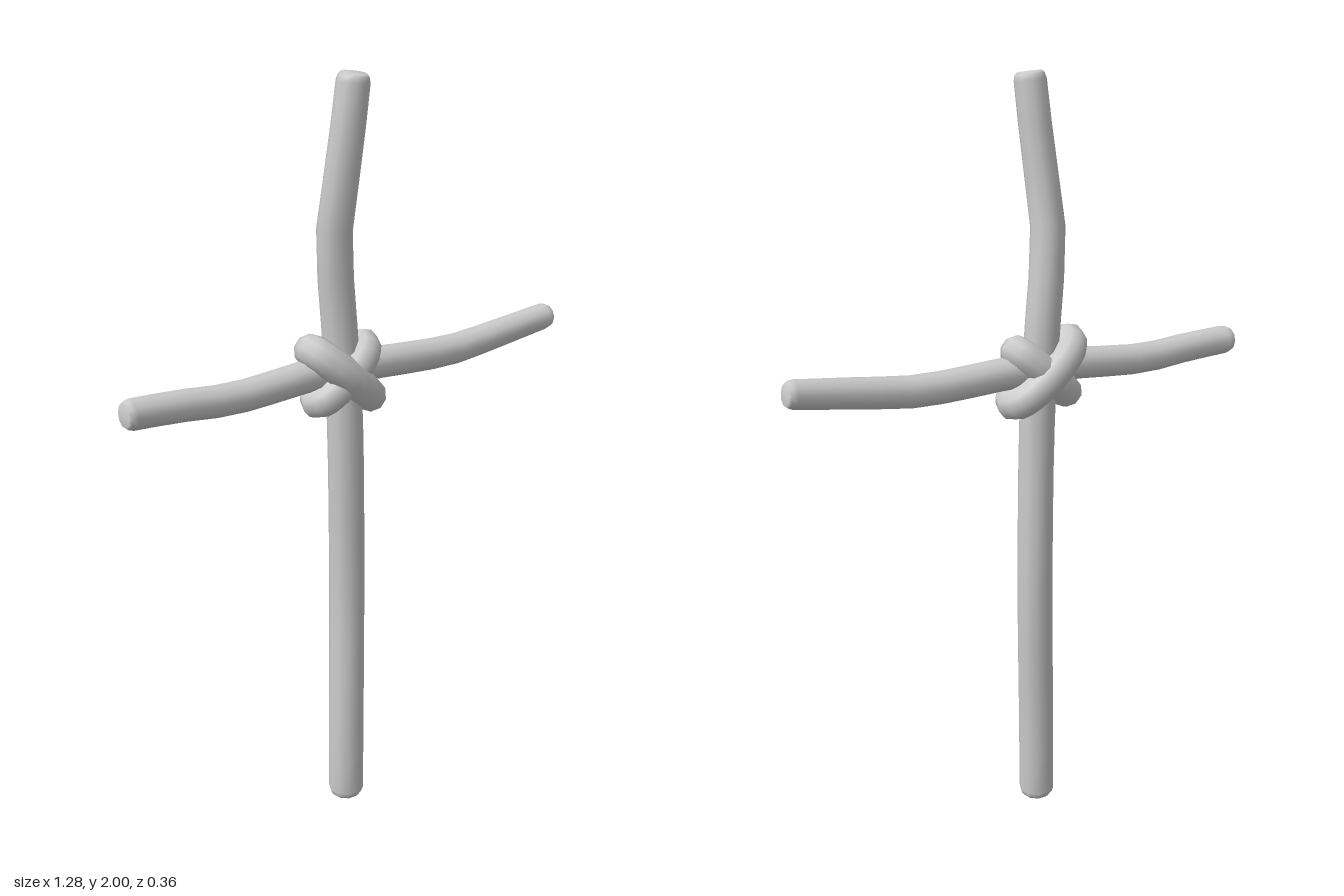
import * as THREE from 'three';

const material = new THREE.MeshStandardMaterial({ color: 0xcccccc });

// Tapered stick swept through [x, y, z, radius] rows, with rounded-off ends.
function stick(name, rows, sides = 10, steps = 16) {
  const curve = new THREE.CatmullRomCurve3(rows.map(r => new THREE.Vector3(r[0], r[1], r[2])));
  const n = rows.length - 1;
  const bevel = 0.02;
  const length = curve.getLength();
  const e = bevel / length;
  // ring stations: parameter and radius factor
  const stations = [[0, 0], [0, 0.78], [e * 0.35, 0.92], [e, 1]];
  for (let i = 1; i < steps; i++) stations.push([i / steps, 1]);
  stations.push([1 - e, 1], [1 - e * 0.35, 0.92], [1, 0.78], [1, 0]);

  const side = new THREE.Vector3(0, 0, 1);
  const pos = [], index = [];
  for (const [u, f] of stations) {
    const t = curve.getUtoTmapping(u);
    const c = curve.getPoint(t), tan = curve.getTangent(t);
    const k = Math.min(Math.floor(t * n), n - 1);
    const r = f * THREE.MathUtils.lerp(rows[k][3], rows[k + 1][3], t * n - k);
    const a = side.clone().addScaledVector(tan, -side.dot(tan)).normalize();
    const b = tan.clone().cross(a);
    for (let j = 0; j < sides; j++) {
      const w = j / sides * Math.PI * 2;
      const p = c.clone().addScaledVector(a, r * Math.cos(w)).addScaledVector(b, r * Math.sin(w));
      pos.push(p.x, p.y, p.z);
    }
  }
  for (let i = 0; i < stations.length - 1; i++) {
    for (let j = 0; j < sides; j++) {
      const k = (j + 1) % sides;
      const a = i * sides + j, b = i * sides + k, c = a + sides, d = b + sides;
      index.push(a, b, d, a, d, c);
    }
  }
  const g = new THREE.BufferGeometry();
  g.setAttribute('position', new THREE.Float32BufferAttribute(pos, 3));
  g.setIndex(index);
  g.computeVertexNormals();
  const mesh = new THREE.Mesh(g, material);
  mesh.name = name;
  return mesh;
}

// Oval loop of cord, tilted across the joint.
function lashing(name, long, deep, thickness, tilt) {
  const pts = [];
  for (let i = 0; i < 12; i++) {
    const w = i / 12 * Math.PI * 2;
    pts.push(new THREE.Vector3(Math.cos(w) * long, 0, Math.sin(w) * deep));
  }
  const curve = new THREE.CatmullRomCurve3(pts, true);
  const mesh = new THREE.Mesh(new THREE.TubeGeometry(curve, 28, thickness, 10, true), material);
  mesh.name = name;
  mesh.rotation.z = tilt;
  return mesh;
}

export function createModel() {
  const model = new THREE.Group();
  model.name = 'lashedCross';

  model.add(stick('uprightStick', [
    [-0.042, 0, 0, 0.049],
    [-0.038, 0.25, -0.002, 0.049],
    [-0.02, 0.65, -0.015, 0.048],
    [-0.034, 1.15, -0.008, 0.047],
    [-0.042, 1.38, -0.018, 0.046],
    [-0.065, 1.62, -0.012, 0.045],
    [-0.058, 1.8, 0.015, 0.043],
    [-0.046, 2, 0.036, 0.041]
  ]));

  model.add(stick('crossStick', [
    [-0.632, 1.266, -0.152, 0.038],
    [-0.5, 1.261, -0.122, 0.039],
    [-0.35, 1.25, -0.087, 0.04],
    [-0.1, 1.268, -0.028, 0.042],
    [0.05, 1.265, 0.01, 0.042],
    [0.3, 1.256, 0.07, 0.041],
    [0.45, 1.274, 0.107, 0.039],
    [0.632, 1.298, 0.149, 0.036]
  ]));

  // Two crossed cord loops binding the joint
  const joint = new THREE.Group();
  joint.name = 'jointLashings';
  joint.position.set(-0.044, 1.256, -0.012);
  joint.rotation.y = -0.24;
  joint.add(lashing('outerLashing', 0.112, 0.05, 0.043, -0.72));
  joint.add(lashing('innerLashing', 0.096, 0.037, 0.042, 0.72));
  model.add(joint);

  return model;
}
